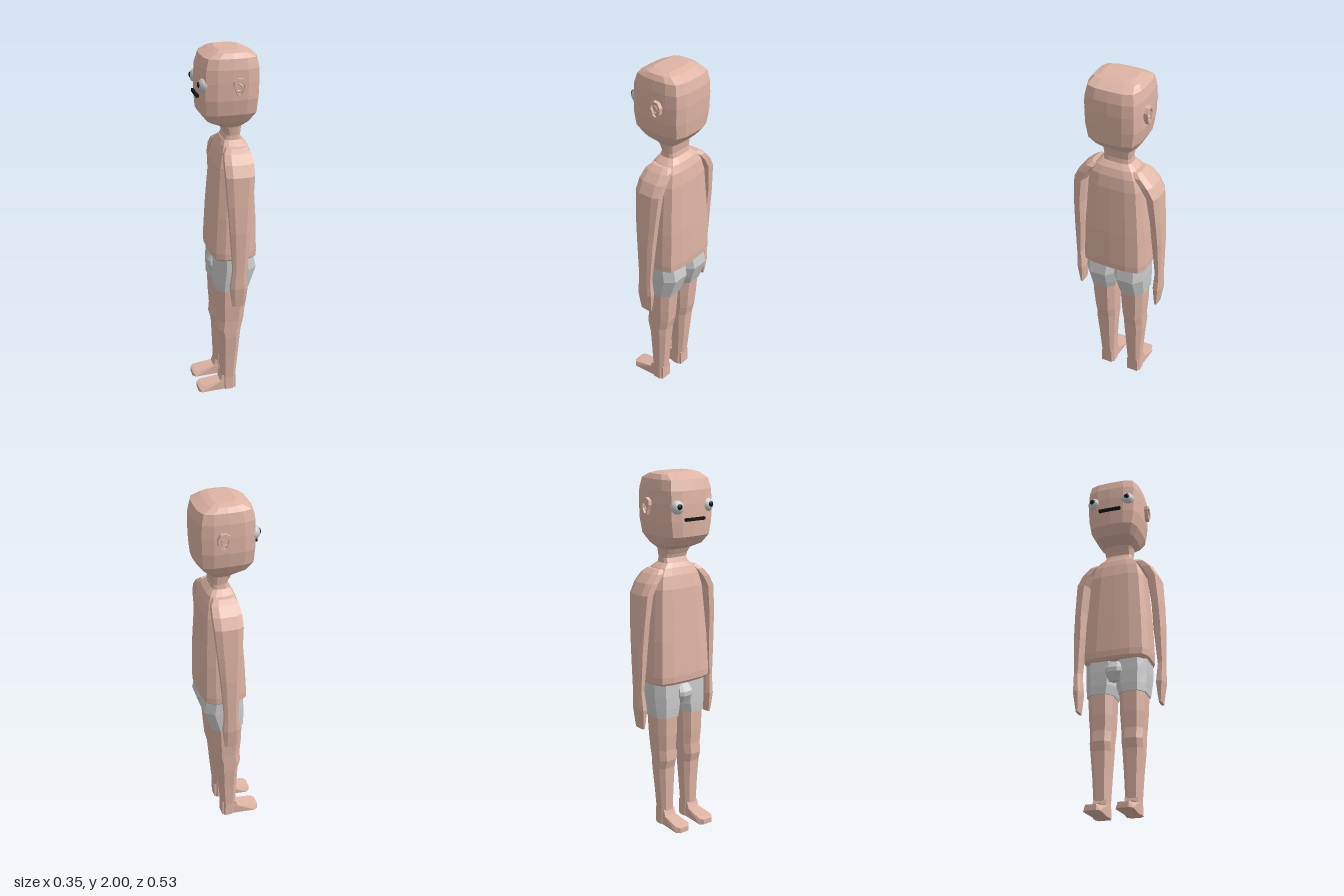
import * as THREE from 'three';

const mat = (color) => new THREE.MeshStandardMaterial({ color, flatShading: true });
const skin = mat(0xdfb5a5), grey = mat(0xcccccc), black = mat(0x111111);
const eyeMat = new THREE.MeshStandardMaterial({ color: 0xcccccc });

// Outline of one quadrant, turned into a full ring of unit points
const ring = (quad) => [0, 1, 2, 3].flatMap((k) => quad.map(([x, z]) => {
  for (let i = 0; i < k; i++) [x, z] = [-z, x];
  return [x, z];
}));
const ROUND = ring([[1, 0], [0.98, 0.5], [0.86, 0.86], [0.5, 0.98]]);
const OCT = ring([[1, 0.55], [0.55, 1]]);

// Capped loft through sections [y, x0, x1, z0, z1]; side = -1 mirrors in z
function loft(sections, outline, side = 1) {
  const n = outline.length, pos = [], idx = [];
  const mid = ([y, x0, x1, z0, z1]) => [(x0 + x1) / 2, y, side * (z0 + z1) / 2];
  for (const s of sections) {
    const [cx, y, cz] = mid(s);
    for (const [u, w] of outline) pos.push(cx + u * (s[2] - s[1]) / 2, y, cz + w * (s[4] - s[3]) / 2);
  }
  const last = sections.length - 1, bottom = pos.length / 3;
  pos.push(...mid(sections[0]), ...mid(sections[last]));
  for (let j = 0; j < n; j++) {
    const k = (j + 1) % n;
    for (let i = 0; i < last; i++) {
      const a = i * n + j, b = i * n + k;
      idx.push(a, a + n, b, b, a + n, b + n);
    }
    idx.push(bottom, j, k, bottom + 1, last * n + k, last * n + j);
  }
  const g = new THREE.BufferGeometry();
  g.setAttribute('position', new THREE.Float32BufferAttribute(pos, 3));
  g.setIndex(idx);
  g.computeVertexNormals();
  return g;
}
// Sections centred on z = 0, given as [y, x0, x1, halfWidth]
const centred = (list) => list.map(([y, a, b, w]) => [y, a, b, -w, w]);

export function createModel() {
  const model = new THREE.Group();
  const add = (name, geo, material, parent = model) => {
    const m = new THREE.Mesh(geo, material);
    m.name = name;
    parent.add(m);
    return m;
  };

  // Head: soft box narrowing to the chin
  add('head', loft(centred([
    [1.56, -0.015, 0.075, 0.075], [1.59, -0.03, 0.085, 0.085], [1.62, -0.105, 0.125, 0.115],
    [1.67, -0.145, 0.165, 0.142], [1.75, -0.15, 0.172, 0.156], [1.84, -0.15, 0.175, 0.158],
    [1.91, -0.145, 0.172, 0.156], [1.965, -0.128, 0.158, 0.145], [1.99, -0.075, 0.105, 0.128],
    [2.0, -0.05, 0.07, 0.09]]), ROUND), skin);

  add('neck', loft(centred([
    [1.48, -0.03, 0.09, 0.085], [1.54, -0.005, 0.078, 0.078], [1.6, -0.025, 0.085, 0.085]]), ROUND), skin);

  add('torso', loft(centred([
    [0.85, -0.085, 0.14, 0.172], [0.865, -0.098, 0.158, 0.187], [0.9, -0.1, 0.16, 0.189],
    [1.1, -0.088, 0.155, 0.181], [1.38, -0.066, 0.14, 0.158], [1.45, -0.05, 0.128, 0.14],
    [1.49, -0.035, 0.11, 0.115], [1.515, -0.02, 0.085, 0.082]]), ROUND), skin);

  add('mouth', new THREE.BoxGeometry(0.02, 0.016, 0.13), black).position.set(-0.152, 1.762, 0);
  add('shortsFront', loft([
    [0.73, -0.075, -0.04, -0.03, 0.03], [0.775, -0.1, -0.04, -0.045, 0.045],
    [0.8, -0.1, -0.04, -0.045, 0.045], [0.84, -0.075, -0.04, -0.035, 0.035]], OCT), grey);

  // Paired parts, one set on each side
  for (const s of [1, -1]) {
    // Eye with pupil on its outer face
    const eye = new THREE.Group();
    eye.name = 'eye';
    eye.position.set(-0.122, 1.828, s * 0.1);
    model.add(eye);
    add('eyeball', new THREE.SphereGeometry(0.04, 16, 12), eyeMat, eye);
    const pupil = add('pupil', new THREE.SphereGeometry(0.016, 10, 8), black, eye);
    pupil.position.set(-0.035, 0.004, s * 0.004);
    pupil.scale.x = 0.5;

    // Ear: raised outer rim, thin inner shell and a curved fold
    const ear = new THREE.Group();
    ear.name = 'ear';
    ear.position.set(0.042, 1.82, s * 0.156);
    model.add(ear);
    const outline = [[0.012, -0.05], [0.034, -0.015], [0.037, 0.02], [0.022, 0.045], [-0.005, 0.05],
      [-0.028, 0.035], [-0.031, 0.012], [-0.02, -0.012], [-0.01, -0.042]];
    const shape = (k) => outline.map(([x, y]) => new THREE.Vector2(x * k, y * k));
    const rim = new THREE.Shape(shape(1));
    rim.holes.push(new THREE.Path(shape(0.68)));
    const rimGeo = new THREE.ExtrudeGeometry(rim, { depth: 0.036, bevelEnabled: false });
    add('earRim', rimGeo.translate(0, 0, -0.018), skin, ear).position.z = s * 0.003;
    const shell = new THREE.ExtrudeGeometry(new THREE.Shape(shape(0.8)), { depth: 0.016, bevelEnabled: false });
    add('earShell', shell.translate(0, 0, -0.008), skin, ear);
    const fold = new THREE.CatmullRomCurve3([[-0.015, -0.012], [0.008, -0.018], [0.014, 0.008], [-0.004, 0.022]]
      .map(([x, y]) => new THREE.Vector3(x, y, s * 0.01)));
    add('earFold', new THREE.TubeGeometry(fold, 8, 0.005, 5), skin, ear);

    // Arm and hand
    add('arm', loft([
      [0.605, -0.008, 0.06, 0.228, 0.245], [0.65, -0.015, 0.066, 0.222, 0.252],
      [0.72, -0.022, 0.073, 0.215, 0.262], [0.78, -0.015, 0.068, 0.22, 0.262],
      [0.83, -0.01, 0.068, 0.225, 0.262], [1.05, -0.022, 0.085, 0.205, 0.264],
      [1.2, -0.033, 0.1, 0.198, 0.257], [1.36, -0.042, 0.113, 0.176, 0.246],
      [1.42, -0.042, 0.115, 0.14, 0.215], [1.465, -0.035, 0.11, 0.105, 0.172],
      [1.487, -0.015, 0.09, 0.09, 0.14]], OCT, s), skin);

    // One half of the shorts, including its leg opening
    add('shortsHalf', loft([
      [0.66, -0.075, 0.108, 0.014, 0.166], [0.71, -0.077, 0.125, 0.002, 0.17],
      [0.785, -0.076, 0.15, -0.004, 0.174], [0.86, -0.072, 0.135, -0.01, 0.174]], OCT, s), grey);

    // Leg with knee and calf
    add('leg', loft([
      [0, -0.035, 0.042, 0.043, 0.13], [0.08, -0.04, 0.042, 0.046, 0.127],
      [0.22, -0.045, 0.055, 0.04, 0.135], [0.35, -0.05, 0.065, 0.032, 0.146],
      [0.4, -0.065, 0.07, 0.03, 0.147], [0.46, -0.06, 0.085, 0.027, 0.148],
      [0.55, -0.066, 0.092, 0.022, 0.155], [0.7, -0.07, 0.103, 0.018, 0.16]], OCT, s), skin);

    // Foot: side profile extruded across, toe corners pulled in
    const side = [[0.042, 0], [0.042, 0.09], [-0.038, 0.09], [-0.05, 0.056], [-0.16, 0.036], [-0.178, 0.03],
      [-0.178, 0], [-0.16, 0]].map(([x, y]) => new THREE.Vector2(x, y));
    const foot = new THREE.ExtrudeGeometry(new THREE.Shape(side), { depth: 0.088, bevelEnabled: false });
    foot.translate(0, 0, -0.044);
    const p = foot.attributes.position;
    for (let i = 0; i < p.count; i++) {
      const x = p.getX(i);
      p.setZ(i, p.getZ(i) * (x < -0.17 ? 0.65 : x < -0.1 ? 1.05 : x > 0 ? 0.75 : 0.85));
    }
    foot.computeVertexNormals();
    add('foot', foot, skin).position.z = s * 0.086;
  }
  return model;
}
